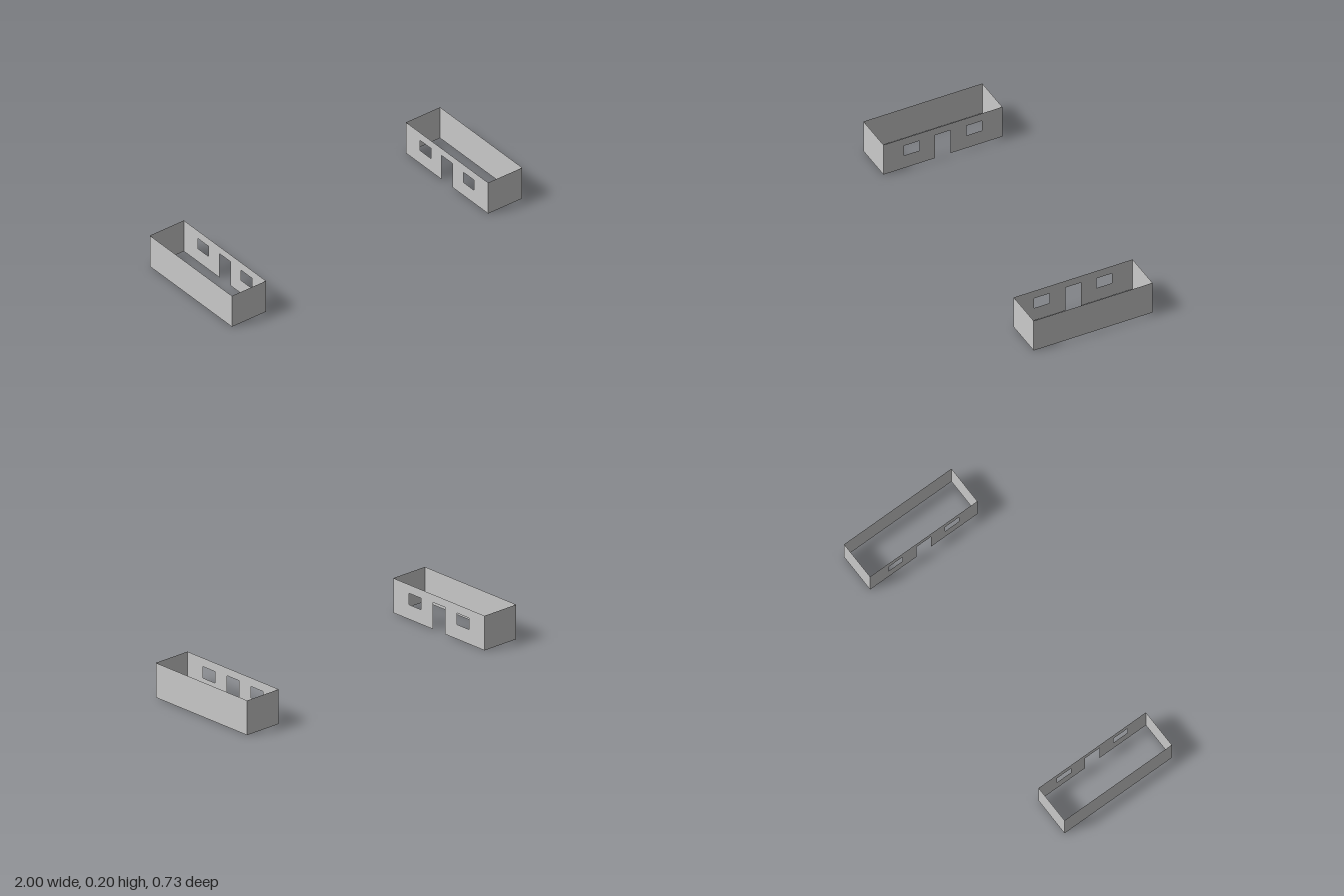
import * as THREE from 'three';

const OUTER = 1, INNER = 0.765, HEIGHT = 0.204, HALF = 0.365;
const material = new THREE.MeshStandardMaterial({ color: 0xcccccc, side: THREE.DoubleSide });

// Thin upright sheet standing on y = 0
function sheet(name, width, x, z, turn) {
  const mesh = new THREE.Mesh(new THREE.PlaneGeometry(width, HEIGHT), material);
  mesh.name = name;
  mesh.position.set(x, HEIGHT / 2, z);
  mesh.rotation.y = turn;
  return mesh;
}

// Wall facing the middle, with a doorway open to the ground and two windows
function doorWall() {
  const door = 0.048, doorTop = 0.158;
  const shape = new THREE.Shape([
    [-HALF, 0], [-door, 0], [-door, doorTop], [door, doorTop],
    [door, 0], [HALF, 0], [HALF, HEIGHT], [-HALF, HEIGHT],
  ].map(([u, v]) => new THREE.Vector2(u, v)));

  const low = 0.086, high = 0.153, near = 0.144, far = 0.24;
  for (const s of [-1, 1]) {
    shape.holes.push(new THREE.Path([
      [s * near, low], [s * near, high], [s * far, high], [s * far, low],
    ].map(([u, v]) => new THREE.Vector2(u, v))));
  }
  const mesh = new THREE.Mesh(new THREE.ShapeGeometry(shape), material);
  mesh.name = 'doorWall';
  mesh.position.x = INNER;
  mesh.rotation.y = -Math.PI / 2;
  return mesh;
}

// Roofless, floorless building of four thin walls
function building(name) {
  const group = new THREE.Group();
  group.name = name;
  const mid = (OUTER + INNER) / 2, depth = OUTER - INNER;
  group.add(
    sheet('outerWall', HALF * 2, OUTER, 0, Math.PI / 2),
    sheet('frontEndWall', depth, mid, HALF, 0),
    sheet('backEndWall', depth, mid, -HALF, Math.PI),
    doorWall(),
  );
  return group;
}

export function createModel() {
  const model = new THREE.Group();
  model.name = 'facingBuildings';
  const left = building('leftBuilding');
  const right = building('rightBuilding');
  right.rotation.y = Math.PI; // door walls face each other
  model.add(left, right);
  return model;
}
